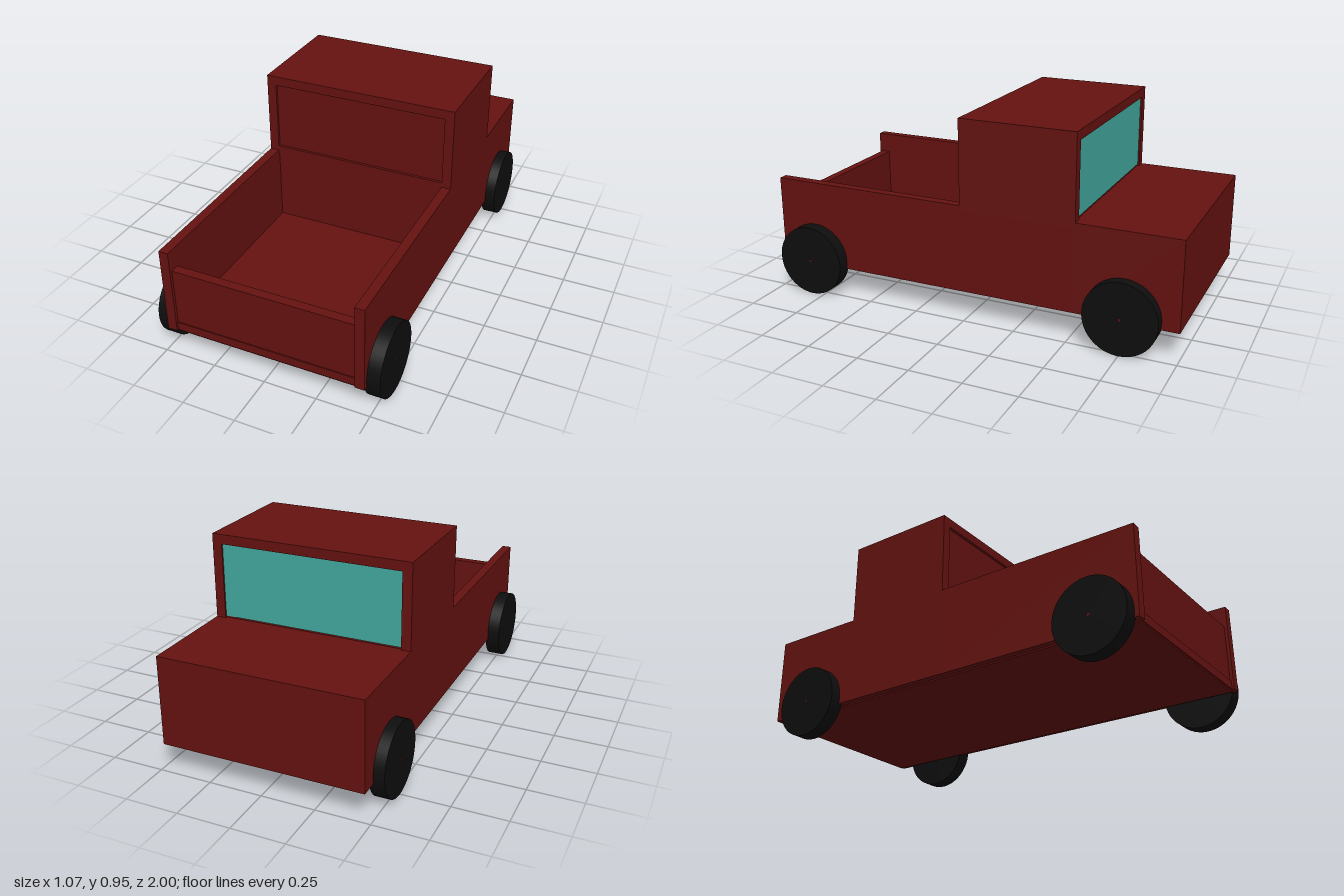
import * as THREE from 'three';

const paint = new THREE.MeshStandardMaterial({ color: 0x641210 });
const rubber = new THREE.MeshStandardMaterial({ color: 0x0e0e0e });
const glass = new THREE.MeshStandardMaterial({ color: 0x42a89e });

export function createModel() {
  const model = new THREE.Group();
  model.name = 'pickupTruck';

  // Box given by its lower and upper bounds on each axis
  function box(name, [x0, x1], [y0, y1], [z0, z1], material = paint) {
    const mesh = new THREE.Mesh(new THREE.BoxGeometry(x1 - x0, y1 - y0, z1 - z0), material);
    mesh.position.set((x0 + x1) / 2, (y0 + y1) / 2, (z0 + z1) / 2);
    mesh.name = name;
    model.add(mesh);
  }
  const W = 0.475, IN = 0.43;

  // Floor and underbody
  box('bedFloor', [-IN, IN], [0.135, 0.175], [0.02, 0.99]);
  box('underbodyPlate', [-0.445, 0.445], [0.128, 0.136], [-0.99, 0.985]);

  // Hood block with a slightly inset nose
  box('hood', [-W, W], [0.135, 0.553], [-1, -0.515]);

  // Cab: lower body, core, and the frame around both windows
  box('cabLower', [-W, W], [0.135, 0.525], [-0.515, 0.02]);
  box('cabCore', [-IN, IN], [0.525, 0.93], [-0.512, 0.012]);
  box('cabRoof', [-W, W], [0.905, 0.95], [-0.525, 0.025]);
  box('rearWindowSill', [-IN, IN], [0.525, 0.573], [0.01, 0.025]);
  box('windshield', [-0.44, 0.44], [0.56, 0.905], [-0.517, -0.51], glass);

  for (const side of [1, -1]) {
    const span = (a, b) => (side > 0 ? [a, b] : [-b, -a]);
    const prefix = side > 0 ? 'left' : 'right';
    box(prefix + 'CabSide', span(IN, W), [0.525, 0.905], [-0.525, 0.025]);
    box(prefix + 'BedWall', span(IN, W), [0.135, 0.55], [0.02, 1]);
  }

  // Low tailgate set between the bed walls
  box('tailgate', [-IN, IN], [0.175, 0.45], [0.942, 0.985]);

  // Wheels with the axle tips just showing at their centres
  const R = 0.17;
  for (const [name, z, inner, outer] of [['bedWheel', 0.81, 0.463, 0.535], ['hoodWheel', -0.75, 0.455, 0.525]]) {
    for (const side of [1, -1]) {
      const wheel = new THREE.Mesh(new THREE.CylinderGeometry(R, R, outer - inner, 48), rubber);
      wheel.rotation.z = Math.PI / 2;
      wheel.position.set(side * (inner + outer) / 2, R, z);
      wheel.name = (side > 0 ? 'left' : 'right') + name[0].toUpperCase() + name.slice(1);
      model.add(wheel);
    }
    const axle = new THREE.Mesh(new THREE.CylinderGeometry(0.006, 0.006, outer * 2 + 0.002, 12), paint);
    axle.rotation.z = Math.PI / 2;
    axle.position.set(0, R, z);
    axle.name = name + 'Axle';
    model.add(axle);
  }
  return model;
}
